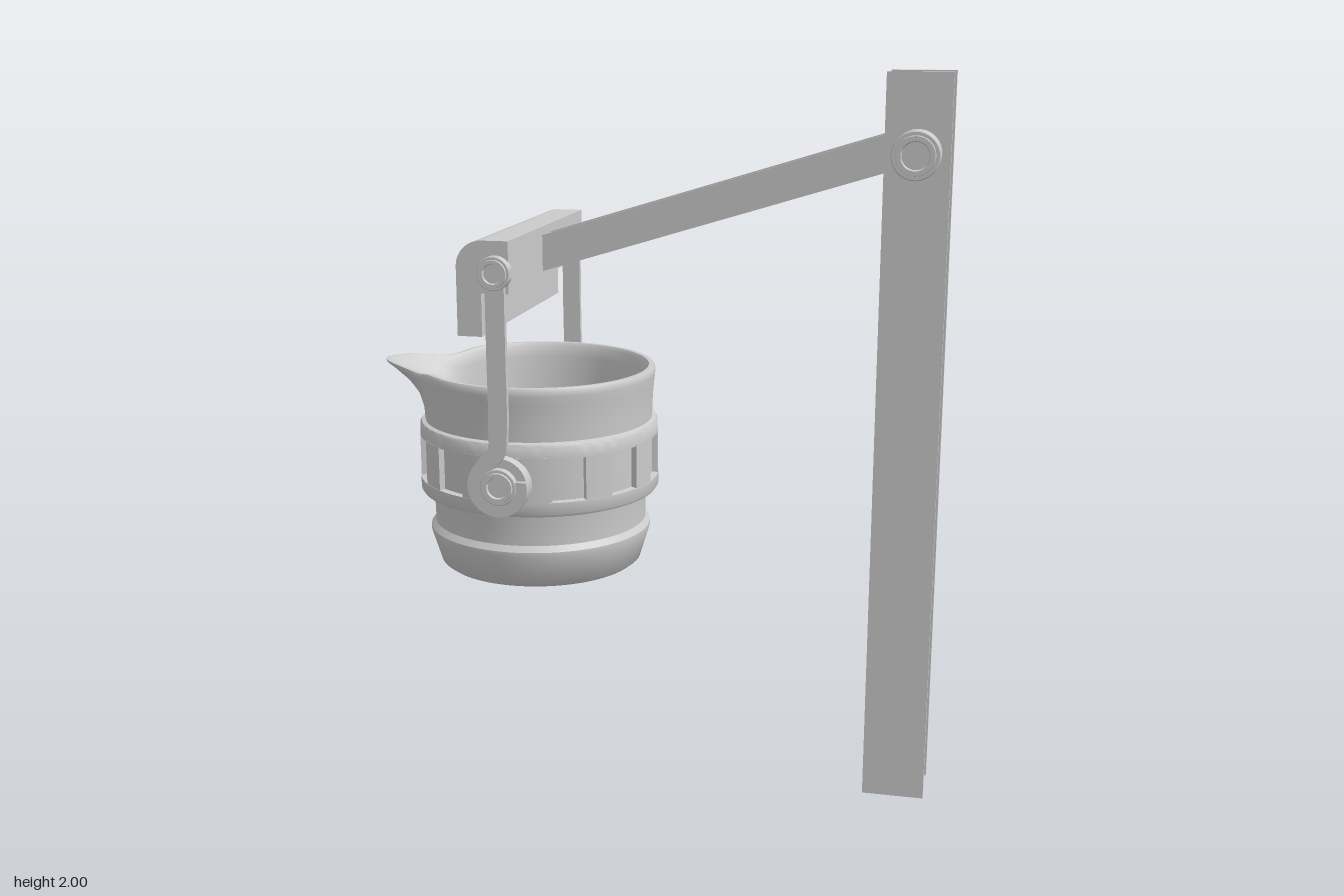
import * as THREE from 'three';
import { toCreasedNormals } from 'three/addons/utils/BufferGeometryUtils.js';

const material = new THREE.MeshStandardMaterial({ color: 0xcccccc });
const V2 = (x, y) => new THREE.Vector2(x, y);
const rad = THREE.MathUtils.degToRad;

function add(parent, name, geometry, x = 0, y = 0, z = 0) {
  const mesh = new THREE.Mesh(geometry, material);
  mesh.name = name;
  mesh.position.set(x, y, z);
  parent.add(mesh);
  return mesh;
}

const box = (w, h, d) => new THREE.BoxGeometry(w, h, d);
const extrude = (shape, depth) => toCreasedNormals(
  new THREE.ExtrudeGeometry(shape, { depth, bevelEnabled: false, curveSegments: 10 }), 0.6);

// Stepped pin with a dished end, pointing along +z or -z
function pin(parent, name, r, length, x, y, z, side) {
  const s = r * 0.17;
  const profile = [V2(r, 0), V2(r, length - s), V2(r * 0.96, length - s * 0.8), V2(r * 0.82, length - s * 0.8),
    V2(r * 0.8, length), V2(r * 0.6, length), V2(r * 0.56, length - s), V2(0, length - s)];
  const mesh = add(parent, name, toCreasedNormals(new THREE.LatheGeometry(profile, 32), 0.6), x, y, z * side);
  mesh.rotation.x = side * Math.PI / 2;
}

// Flat outline following a centre line, with a width that may vary
function strokeShape(points, widthAt, n = 70) {
  const curve = new THREE.CatmullRomCurve3(points.map(p => new THREE.Vector3(p.x, p.y, 0)), false, 'centripetal');
  const left = [], right = [];
  for (let i = 0; i <= n; i++) {
    const p = curve.getPointAt(i / n), t = curve.getTangentAt(i / n), w = widthAt(i / n) / 2;
    left.push(V2(p.x - t.y * w, p.y + t.x * w));
    right.push(V2(p.x + t.y * w, p.y - t.x * w));
  }
  return new THREE.Shape(left.concat(right.reverse()));
}

// Upright beam: core between two wider flange plates
function buildPost() {
  const post = new THREE.Group();
  post.name = 'post';
  add(post, 'postCore', box(0.13, 1.97, 0.13), 0.705, 1);
  for (const side of [-1, 1]) {
    add(post, 'postFlange', box(0.17, 2, 0.022), 0.705, 1, side * 0.074);
    pin(post, 'postPin', 0.063, 0.081, 0.705, 1.795, 0.084, side);
  }
  return post;
}

// Sloping arm with recessed web
function buildArm() {
  const arm = new THREE.Group();
  arm.name = 'arm';
  arm.position.set(0.155, 1.647, 0);
  arm.rotation.z = Math.atan(0.309);
  add(arm, 'armWeb', box(1.08, 0.07, 0.08));
  for (const side of [-1, 1]) add(arm, 'armFlange', box(1.08, 0.095, 0.013), 0, 0, side * 0.043);
  return arm;
}

// Hooked crossbar with a rounded outer corner
function buildCrossbar() {
  const s = new THREE.Shape();
  s.moveTo(-0.45, 1.325);
  s.lineTo(-0.383, 1.325);
  s.lineTo(-0.383, 1.44);
  s.lineTo(-0.308, 1.44);
  s.lineTo(-0.308, 1.577);
  s.lineTo(-0.38, 1.577);
  s.absarc(-0.38, 1.507, 0.07, Math.PI / 2, Math.PI, false);
  s.closePath();
  const g = extrude(s, 0.72);
  g.translate(0, 0, -0.36);
  const bar = new THREE.Group();
  bar.name = 'crossbarGroup';
  add(bar, 'crossbar', g);
  return bar;
}

// Hanger strap ending in an open hook around the pail's trunnion
function buildHanger(side) {
  const hanger = new THREE.Group();
  hanger.name = side > 0 ? 'frontHanger' : 'backHanger';
  const path = [V2(-0.342, 1.495), V2(-0.342, 1.3), V2(-0.342, 1.08), V2(-0.348, 1.02), V2(-0.376, 0.985)];
  for (let a = 140; a <= 375; a += 23.5) {
    path.push(V2(-0.345 + 0.064 * Math.cos(rad(a)), 0.922 + 0.064 * Math.sin(rad(a))));
  }
  const strap = extrude(strokeShape(path, t => t < 0.5 ? 0.052 : 0.052 - 0.04 * (t - 0.5)), 0.016);
  add(hanger, 'hookStrap', strap, 0, 0, side * 0.368 - 0.008);
  pin(hanger, 'upperPin', 0.045, 0.034, -0.343, 1.495, 0.355, side);
  pin(hanger, 'trunnion', 0.05, 0.085, -0.345, 0.922, 0.3, side);
  const boss = add(hanger, 'trunnionBoss', new THREE.CylinderGeometry(0.075, 0.085, 0.05, 32), -0.345, 0.922, side * 0.335);
  boss.rotation.x = side * Math.PI / 2;
  return hanger;
}

// Pail: turned profile with its upper wall drawn out into a pouring spout
function buildPail() {
  const pail = new THREE.Group();
  pail.name = 'pail';
  pail.position.x = -0.34;
  const outer = [[0, 0.612], [0.275, 0.612], [0.288, 0.622], [0.315, 0.71], [0.315, 0.722], [0.302, 0.738],
    [0.302, 0.78], [0.307, 0.83], [0.335, 0.83], [0.34, 0.838], [0.34, 0.87], [0.322, 0.872], [0.322, 0.988],
    [0.338, 0.99], [0.338, 1.022], [0.333, 1.03], [0.322, 1.034], [0.323, 1.07], [0.325, 1.105],
    [0.328, 1.135], [0.331, 1.16], [0.331, 1.175], [0.326, 1.182]];
  const inner = [[0.313, 1.182], [0.306, 1.172], [0.302, 1.14], [0.298, 1.1], [0.295, 1.06], [0.292, 1.02],
    [0.28, 0.85], [0.262, 0.69], [0.24, 0.665], [0, 0.66]];
  const g = new THREE.LatheGeometry(outer.concat(inner).map(p => V2(...p)), 96);
  const pos = g.attributes.position;
  for (let i = 0; i < pos.count; i++) {
    const x = pos.getX(i), y = pos.getY(i), z = pos.getZ(i), r = Math.hypot(x, z);
    const t = THREE.MathUtils.clamp((y - 1.03) / 0.15, 0, 1);
    if (t === 0 || r === 0) continue;
    const a = Math.atan2(z, -x);
    const k = 1 + 0.13 * t * t * Math.exp(-((a / 0.28) ** 2)) / r;
    // the rim dips slightly either side of the lip
    const dip = 0.014 * t * Math.exp(-(((Math.abs(a) - 0.4) / 0.2) ** 2));
    pos.setXYZ(i, x * k, y - dip, z * k);
  }
  add(pail, 'pailBody', toCreasedNormals(g, 0.65));

  // Raised blocks that leave a row of recessed panels round the middle band
  const block = (from, to) => {
    const s = new THREE.Shape();
    s.absarc(0, 0, 0.339, rad(from), rad(to), false);
    s.absarc(0, 0, 0.31, rad(to), rad(from), true);
    s.closePath();
    const b = extrude(s, 0.128);
    b.rotateX(-Math.PI / 2);
    add(pail, 'bandBlock', b, 0, 0.866, 0);
  };
  for (let k = 0; k < 12; k++) {
    if (k % 6 === 3) continue;
    const step = k % 6 === 2 ? 60 : 30;
    block(k * 30 + 8, k * 30 + step - 8);
  }
  return pail;
}

export function createModel() {
  const model = new THREE.Group();
  model.name = 'pailHoist';
  model.add(buildPost(), buildArm(), buildCrossbar(), buildPail(), buildHanger(1), buildHanger(-1));
  return model;
}
